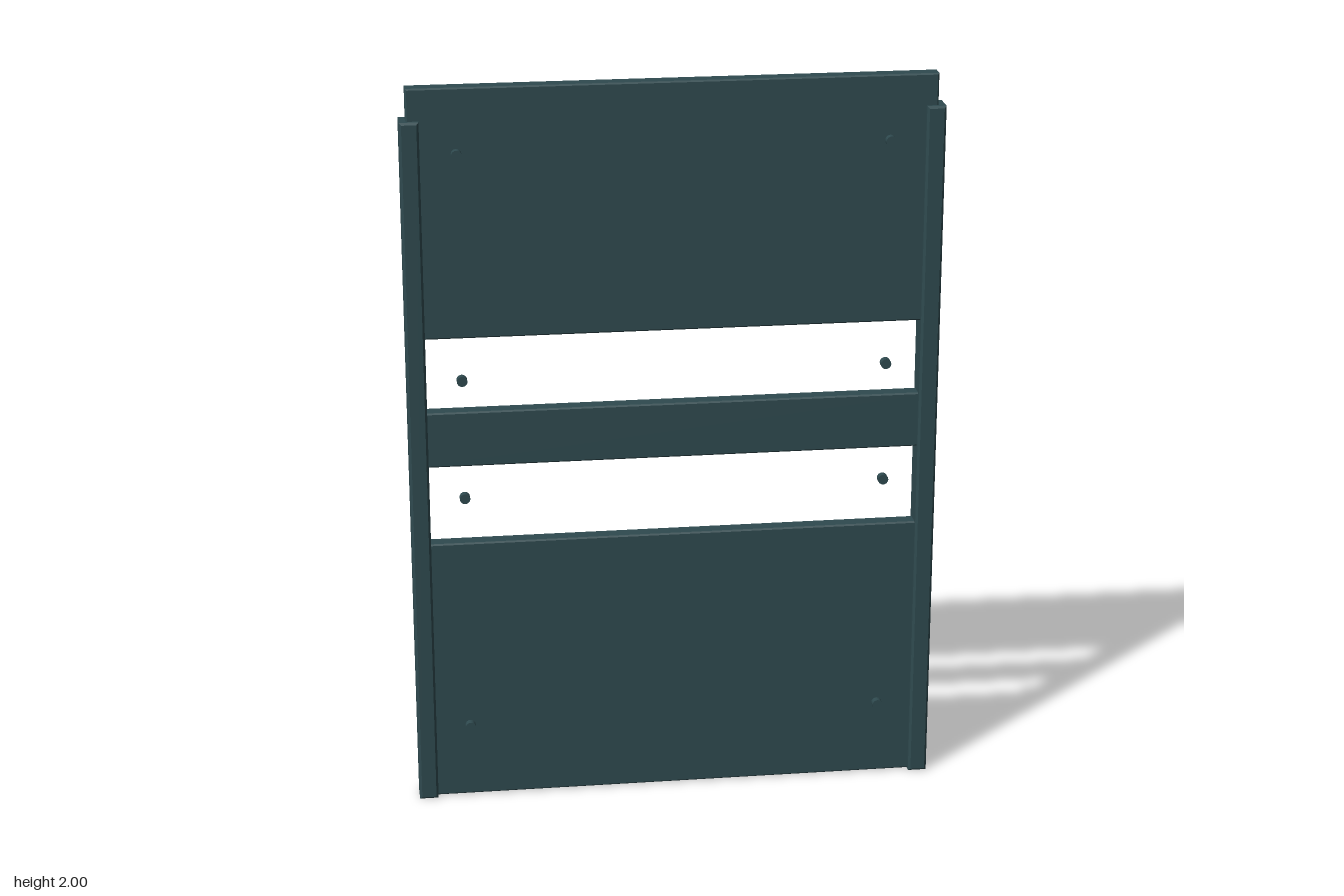
import * as THREE from 'three';

// Box between two corners with narrow chamfered edges
function chamferBox(min, max, c) {
  const [x0, y0, z0] = min, [x1, y1, z1] = max;
  const shape = new THREE.Shape();
  shape.moveTo(x0 + c, y0 + c);
  shape.lineTo(x1 - c, y0 + c);
  shape.lineTo(x1 - c, y1 - c);
  shape.lineTo(x0 + c, y1 - c);
  shape.closePath();
  const geo = new THREE.ExtrudeGeometry(shape, {
    depth: z1 - z0 - 2 * c, bevelEnabled: true,
    bevelSize: c, bevelThickness: c, bevelSegments: 1,
  });
  return geo.translate(0, 0, z0 + c);
}

export function createModel() {
  const group = new THREE.Group();
  const slate = new THREE.MeshStandardMaterial({ color: 0x2f4a4f });
  slate.name = 'dark slate';

  const add = (name, geo) => {
    const mesh = new THREE.Mesh(geo, slate);
    mesh.name = name;
    group.add(mesh);
    return mesh;
  };

  // Side posts that hold the panel ends
  add('leftPost', chamferBox([0.66, 0, -0.046], [0.711, 1.915, 0.028], 0.006));
  add('rightPost', chamferBox([-0.712, 0, -0.046], [-0.661, 1.915, 0.028], 0.006));

  // Horizontal panels, with two open gaps between them
  const panels = [
    ['lowerPanel', 0.003, 0.75],
    ['middleRail', 0.97, 1.123],
    ['upperPanel', 1.328, 2],
  ];
  for (const [name, y0, y1] of panels) {
    add(name, chamferBox([-0.694, y0, -0.032], [0.692, y1, 0.013], 0.004));
  }

  // Small round studs standing just in front of the panels
  for (const y of [0.22, 0.89, 1.22, 1.83]) {
    for (const x of [-0.568, 0.563]) {
      const stud = add('stud', new THREE.CylinderGeometry(0.014, 0.014, 0.019, 16));
      stud.rotation.x = Math.PI / 2;
      stud.position.set(x, y, 0.0375);
    }
  }
  return group;
}
